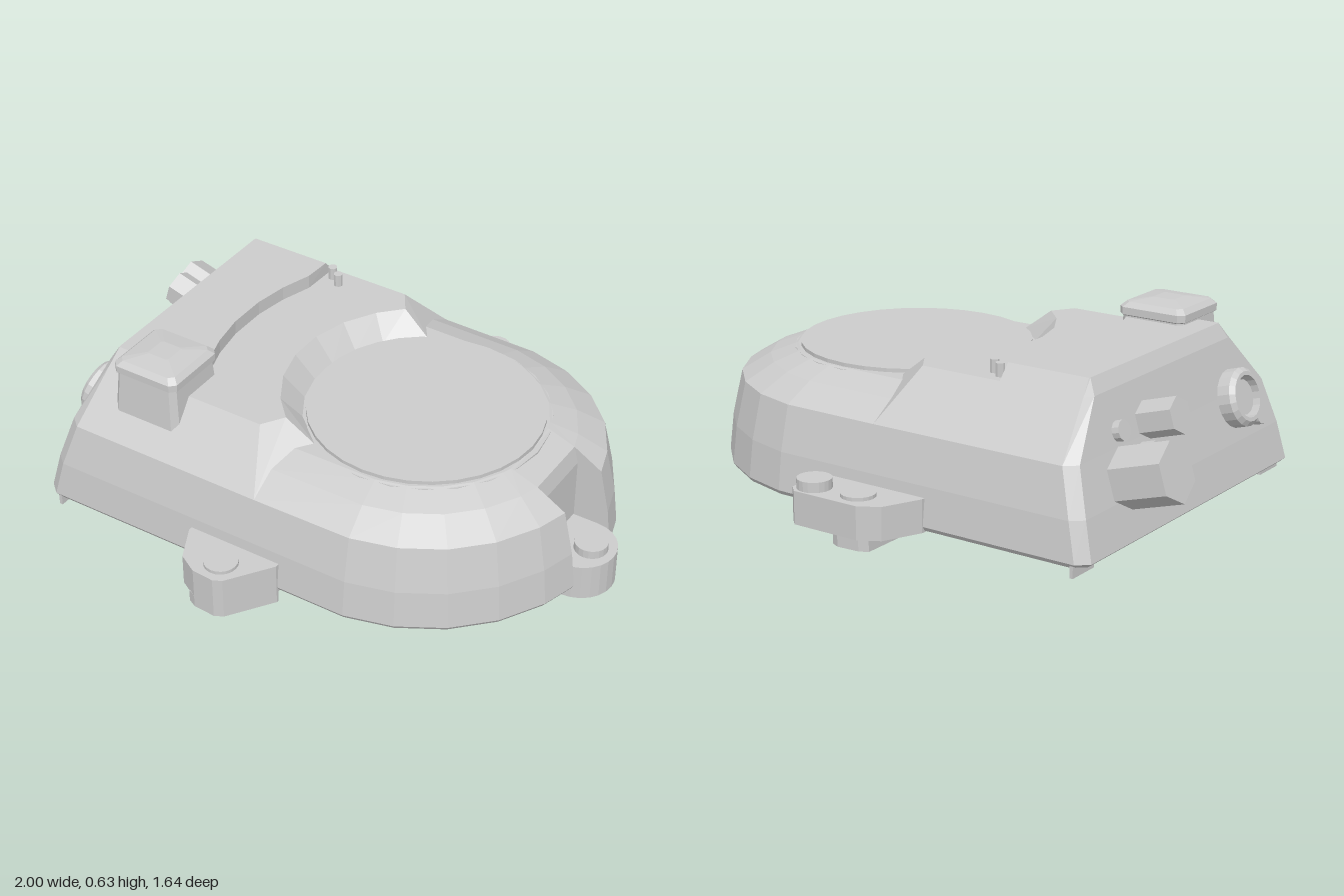
import * as THREE from 'three';

const CX = 0.28; // centre of the round end
const mat = new THREE.MeshStandardMaterial({ color: 0xcccccc, flatShading: true, side: THREE.DoubleSide });

function fromTriangles(tris) {
  const g = new THREE.BufferGeometry();
  g.setAttribute('position', new THREE.Float32BufferAttribute(tris.flat(), 3));
  g.computeVertexNormals();
  return g;
}

// Skin through rows of [x, y, z] points
function loft(rows, closed = false) {
  const t = [];
  for (let r = 0; r + 1 < rows.length; r++) {
    const a = rows[r], b = rows[r + 1], n = a.length;
    for (let i = 0; i < (closed ? n : n - 1); i++) {
      const j = (i + 1) % n;
      t.push(a[i], a[j], b[j], a[i], b[j], b[i]);
    }
  }
  return fromTriangles(t);
}

// Horizontal polygon from [x, y, z] points, anticlockwise seen from above
function cap(pts, down = false) {
  const faces = THREE.ShapeUtils.triangulateShape(pts.map(p => new THREE.Vector2(p[0], -p[2])), []);
  return fromTriangles(faces.flatMap(([a, b, c]) => (down ? [pts[a], pts[c], pts[b]] : [pts[a], pts[b], pts[c]])));
}

// Upright prism from [x, z] points
function prism(pts, y0, y1) {
  const shape = new THREE.Shape(pts.map(([x, z]) => new THREE.Vector2(x, -z)));
  const g = new THREE.ExtrudeGeometry(shape, { depth: y1 - y0, bevelEnabled: false });
  return g.rotateX(-Math.PI / 2).translate(0, y0, 0);
}

// Faceted round end from front to back, with the pocket cut in its tip
function roundEnd(r, y) {
  const half = [];
  for (let d = 82.5; d > 20; d -= 15) {
    const a = THREE.MathUtils.degToRad(d);
    half.push([CX + r * Math.cos(a), y, r * Math.sin(a)]);
  }
  const edge = CX + Math.sqrt(r * r - 0.125 ** 2);
  half.push([edge, y, 0.125], [Math.min(0.785, edge), y, 0.125]);
  return [...half, ...half.map(([x, yy, z]) => [x, yy, -z]).reverse()];
}

// Append the same points mirrored in z, in reverse order
const mirrored = pts => [...pts, ...pts.map(([x, y, z]) => [x, y, -z]).reverse()];

export function createModel() {
  const group = new THREE.Group();
  const add = (name, geo, parent = group) => {
    const m = new THREE.Mesh(geo, mat);
    m.name = name;
    parent.add(m);
    return m;
  };
  const cyl = (name, x, z, r, y0, y1, sides = 20) =>
    add(name, new THREE.CylinderGeometry(r, r, y1 - y0, sides).translate(x, (y0 + y1) / 2, z));

  // Lower case: straight sides, round end, sloping end wall
  const bodyRows = [[0.045, 0.645, -0.82], [0.06, 0.655, -0.838], [0.19, 0.64, -0.807], [0.345, 0.605, -0.76]]
    .map(([y, w, xl]) => [
      [xl, y, w - 0.035], [xl + 0.04, y, w],
      ...roundEnd(w, y),
      [xl + 0.04, y, -w], [xl, y, -w + 0.035],
    ]);
  add('lowerCase', loft(bodyRows, true));
  add('underside', cap(bodyRows[0], true));

  // Shoulder around the round cover
  const domeRows = [[0.345, 0.605], [0.405, 0.505], [0.44, 0.41]]
    .map(([y, w]) => [[0, y, w], ...roundEnd(w, y), [0, y, -w]]);
  add('shoulder', loft(domeRows));
  add('shoulderTop', cap(domeRows[2]));
  cyl('coverSeat', CX, 0, 0.42, 0.3, 0.437, 24);
  cyl('roundCover', CX, 0, 0.4, 0.42, 0.453, 32);

  // Raised housing: sloping sides
  const humpRows = [
    [[0, 0.345, -0.605], [-0.72, 0.345, -0.605], [-0.76, 0.345, -0.57]],
    [[-0.08, 0.515, -0.446], [-0.69, 0.515, -0.446], [-0.71, 0.515, -0.415]],
  ].map(mirrored);
  add('housingSides', loft(humpRows));

  // Curved recess wall facing the cover, with its angled ends
  const arc = (r, y, end) => mirrored([end, 142.5, 157.5, 172.5].map(d => {
    const a = THREE.MathUtils.degToRad(d);
    return [CX + r * Math.cos(a), y, r * Math.sin(a)];
  }));
  const rim = [[-0.08, 0.515, 0.446], ...arc(0.483, 0.515, 130), [-0.08, 0.515, -0.446]];
  const foot = [[0, 0.345, 0.605], ...arc(0.41, 0.435, 120), [0, 0.345, -0.605]];
  add('recessWall', loft([foot, rim]));
  add('deck', cap([...rim, [-0.5, 0.515, -0.446], [-0.5, 0.515, 0.446]]));

  // Upper plate with a curved step
  const step = (y, zEnd) => mirrored([[-0.38, zEnd], [-0.385, 0.3], [-0.42, 0.19], [-0.44, 0.07]].map(([x, z]) => [x, y, z]));
  const plateEdge = (y, z, x, xw, zw) => mirrored([[-0.38, y, -z], [x, y, -z], [xw, y, -zw]]);
  const plateTop = plateEdge(0.565, 0.4, -0.68, -0.682, 0.395);
  add('upperPlateSides', loft([plateEdge(0.515, 0.446, -0.69, -0.71, 0.415), plateTop]));
  add('upperPlateStep', loft([step(0.515, 0.446), step(0.565, 0.4)]));
  add('upperPlate', cap([...step(0.565, 0.4), ...plateTop.slice(1, -1)]));

  // Square capped box on the sloping side
  const square = (h, y) => {
    const c = h * 0.84;
    return [[-h, c], [-c, h], [c, h], [h, c], [h, -c], [c, -h], [-c, -h], [-h, -c]]
      .map(([x, z]) => [-0.485 + x, y, 0.405 + z]);
  };
  const boxRows = [[0.13, 0.412], [0.118, 0.57], [0.126, 0.575], [0.126, 0.6], [0.108, 0.617], [0.04, 0.628]]
    .map(([h, y]) => square(h, y));
  add('cappedBox', loft(boxRows, true));
  add('cappedBoxTop', cap(boxRows[5]));
  add('cappedBoxBase', cap(boxRows[0], true));

  // Two small pins on the deck
  cyl('pin', -0.35, -0.4, 0.016, 0.51, 0.56, 10);
  cyl('pin', -0.31, -0.373, 0.016, 0.51, 0.56, 10);

  // Side mounting lugs with feet and bolts
  add('frontLug', prism([[-0.23, 0.63], [-0.23, 0.655], [-0.17, 0.775], [-0.1, 0.815], [-0.02, 0.82], [0.01, 0.805], [0.115, 0.655], [0.115, 0.63]], 0.04, 0.153));
  add('backLug', prism([[-0.23, -0.63], [-0.23, -0.655], [-0.17, -0.785], [-0.1, -0.825], [0.15, -0.825], [0.18, -0.795], [0.18, -0.63]], 0.04, 0.153));
  for (const s of [1, -1]) {
    add('lugFoot', prism([[-0.13, 0.645], [-0.13, 0.8], [-0.1, 0.815], [-0.02, 0.82], [0.01, 0.805], [0.115, 0.655], [0.115, 0.645]].map(([x, z]) => [x, z * s]), 0, 0.045));
  }
  cyl('bolt', -0.045, 0.735, 0.058, 0.15, 0.165);
  cyl('bolt', -0.045, -0.742, 0.058, 0.15, 0.165);
  cyl('bolt', 0.118, -0.76, 0.058, 0.15, 0.187);

  // End lug standing in the pocket
  const endLug = [[0.78, 0.122]];
  for (let i = 0; i <= 12; i++) {
    const a = Math.PI / 2 - (i * Math.PI) / 12;
    endLug.push([0.878 + 0.122 * Math.cos(a), 0.122 * Math.sin(a)]);
  }
  endLug.push([0.78, -0.122]);
  add('endLug', prism(endLug, 0, 0.13));
  cyl('bolt', 0.915, 0, 0.057, 0.12, 0.16);

  // Thin tabs under the sloping end
  for (const s of [1, -1]) {
    add('tab', new THREE.BoxGeometry(0.012, 0.05, 0.12).translate(-0.785, 0.038, s * 0.59));
  }

  // Fittings standing square to the sloping end wall
  const fitting = (name, y, z, geo) => {
    const m = add(name, geo);
    m.position.set(-0.84 + 0.3 * (y - 0.08), y, z);
    m.rotation.z = 1.28;
  };
  const stub = (r, len, sides, start = 0) =>
    new THREE.CylinderGeometry(r, r, len + 0.03, sides, 1, false, start).translate(0, len / 2 - 0.015, 0);
  fitting('largeHexPlug', 0.25, -0.352, stub(0.101, 0.19, 6, Math.PI / 6));
  fitting('smallHexPlug', 0.385, -0.17, stub(0.062, 0.13, 6, Math.PI / 6));
  fitting('collar', 0.28, -0.22, stub(0.05, 0.05, 12));
  fitting('stud', 0.39, -0.335, stub(0.034, 0.025, 12));
  const ring = [[0.072, -0.02], [0.1, -0.02], [0.1, 0.045], [0.085, 0.06], [0.072, 0.06], [0.072, -0.02]];
  fitting('socketRing', 0.325, 0.365, new THREE.LatheGeometry(ring.map(p => new THREE.Vector2(...p)), 20));
  fitting('socketCore', 0.325, 0.365, stub(0.06, 0.04, 16));
  fitting('stud', 0.24, 0.47, stub(0.03, 0.03, 12));

  return group;
}
